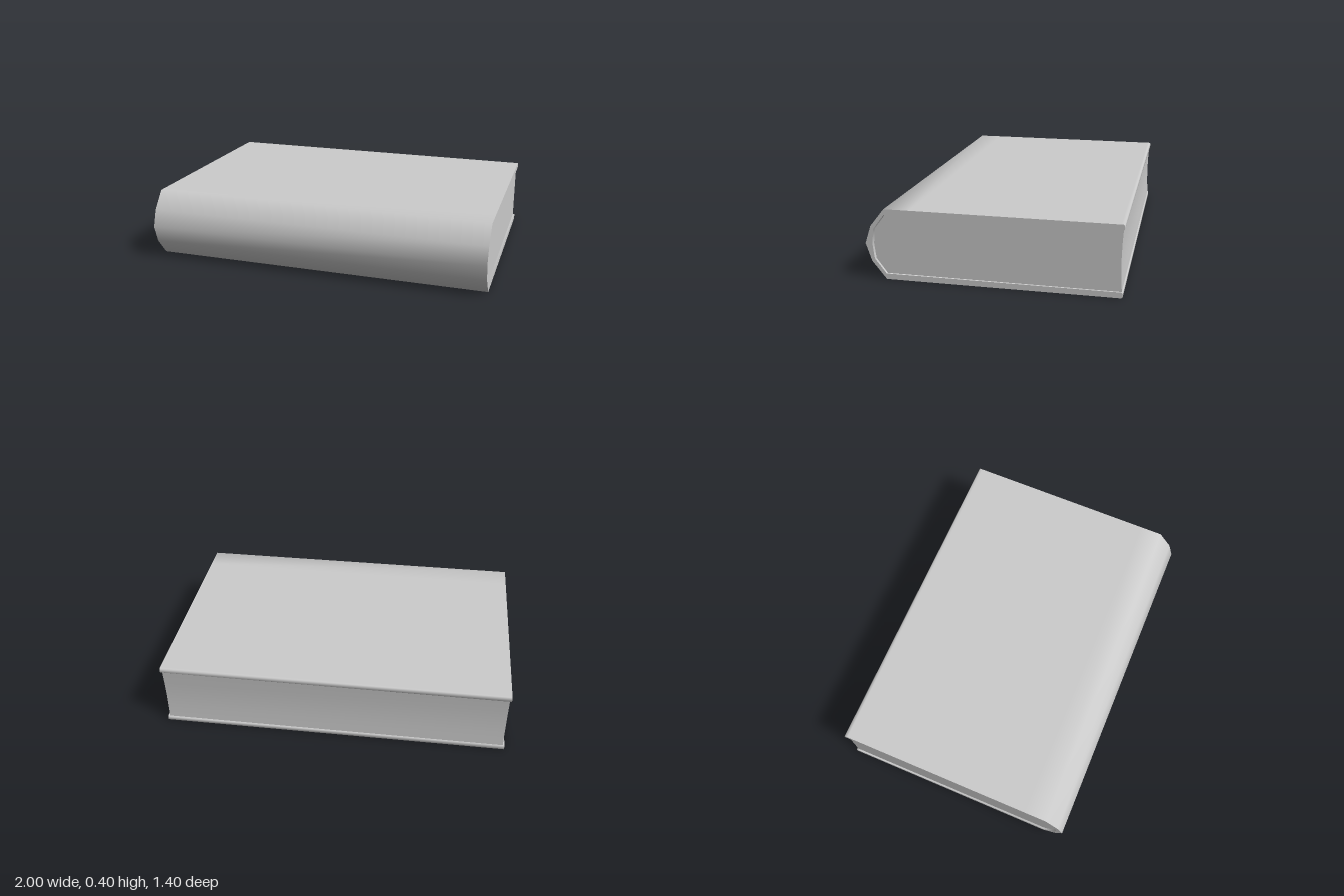
import * as THREE from 'three';
import { toCreasedNormals } from 'three/addons/utils/BufferGeometryUtils.js';

const MID = 0.2; // half the thickness of the book

// Mirrors an upper half profile of [z, height above middle] points to the lower half.
// The last point lies on the middle line when it has zero height.
function mirrored(half) {
  const lower = half.filter(([, h]) => h > 0).reverse().map(([z, h]) => [z, -h]);
  return [...half, ...lower];
}

// Extrudes a (z, height) outline along x, centred on x = 0.
function extrudeAlongX(points, width) {
  const shape = new THREE.Shape(points.map(([z, h]) => new THREE.Vector2(z, h + MID)));
  const geometry = new THREE.ExtrudeGeometry(shape, { depth: width, bevelEnabled: false });
  geometry.translate(0, 0, -width / 2);
  geometry.rotateY(-Math.PI / 2);
  return toCreasedNormals(geometry, THREE.MathUtils.degToRad(60));
}

export function createModel() {
  const group = new THREE.Group();
  group.name = 'book';
  const material = new THREE.MeshStandardMaterial({ color: 0xcccccc });

  const add = (name, points, width) => {
    const mesh = new THREE.Mesh(extrudeAlongX(points, width), material);
    mesh.name = name;
    group.add(mesh);
  };

  // Cover: two boards joined by a rounded spine, one wrapped outline
  const outer = mirrored([
    [-0.7, 0.194], [-0.694, 0.2], [-0.68, 0.2], [0.45, 0.2],
    [0.59, 0.2], [0.67, 0.1], [0.703, 0],
  ]);
  const inner = mirrored([
    [-0.694, 0.168], [-0.68, 0.168], [0.59, 0.168], [0.654, 0.085], [0.664, 0],
  ]);
  add('cover', [...outer, [-0.7, -0.174], ...inner.reverse(), [-0.7, 0.174]], 2);

  // Page block: slightly recessed, rounded at the spine and hollow at the open edge
  const pages = mirrored([
    [-0.694, 0.168], [0.587, 0.168], [0.648, 0.085], [0.658, 0],
  ]);
  add('pages', [...pages, [-0.689, -0.085], [-0.687, 0], [-0.689, 0.085]], 1.98);

  return group;
}
